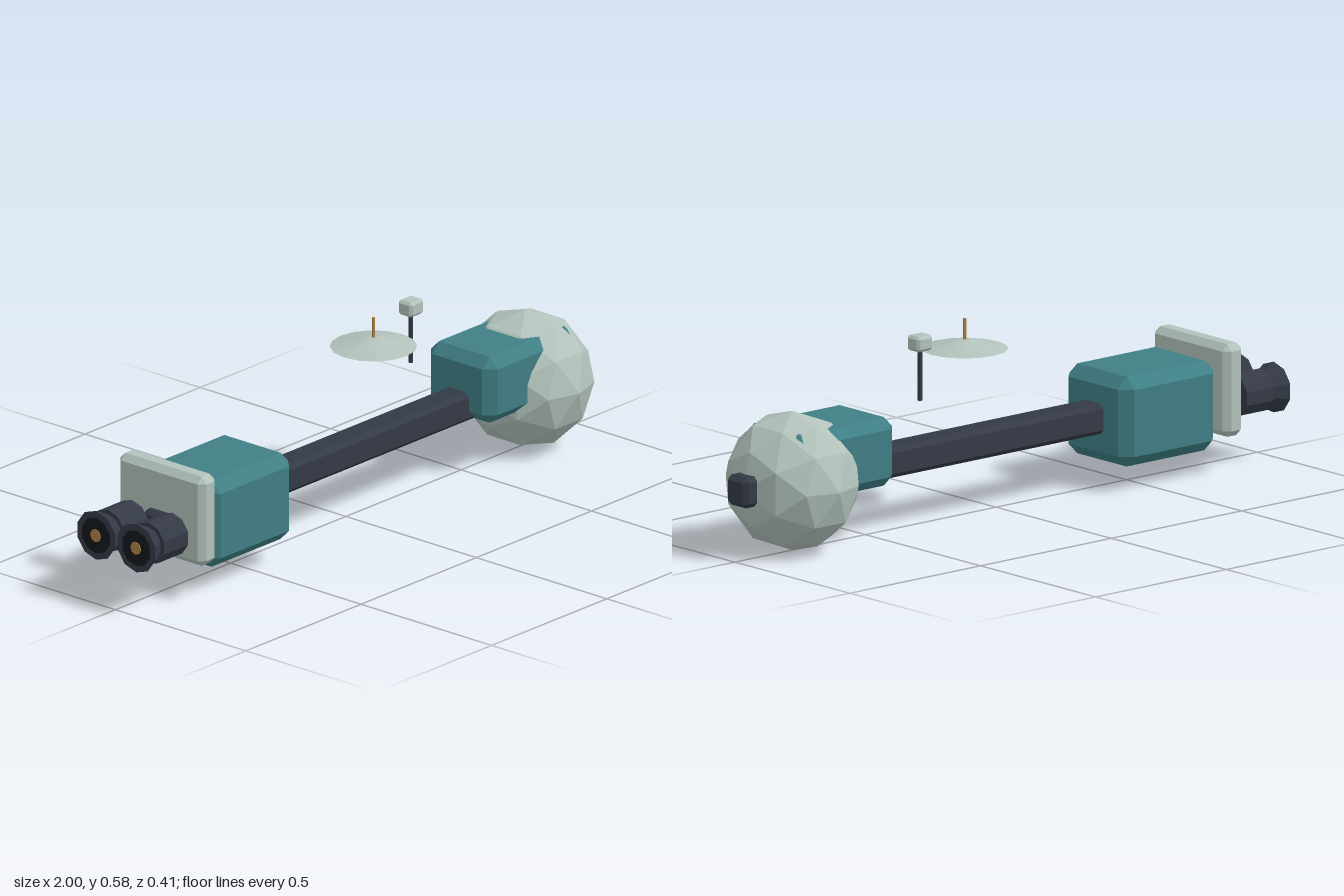
import * as THREE from 'three';
import { ConvexGeometry } from 'three/addons/geometries/ConvexGeometry.js';

const paint = (color) => new THREE.MeshStandardMaterial({ color, flatShading: true });

// Box with a single 45 degree chamfer on every edge, given by its limits
function chamferBox([x0, x1], [y0, y1], [z0, z1], c) {
  const h = [(x1 - x0) / 2, (y1 - y0) / 2, (z1 - z0) / 2];
  const points = [];
  for (const sx of [-1, 1]) for (const sy of [-1, 1]) for (const sz of [-1, 1]) {
    for (let axis = 0; axis < 3; axis++) {
      const [x, y, z] = h.map((v, i) => (i === axis ? v : v - c));
      points.push(new THREE.Vector3(sx * x, sy * y, sz * z));
    }
  }
  return new ConvexGeometry(points).translate((x0 + x1) / 2, (y0 + y1) / 2, (z0 + z1) / 2);
}

// Upright cylinder or cone section
const upright = (rTop, rBottom, y0, y1, x, z, sides) =>
  new THREE.CylinderGeometry(rTop, rBottom, y1 - y0, sides).translate(x, (y0 + y1) / 2, z);

// Cylinder along x; corners lie straight up and down
const along = (rRear, rFront, x0, x1, sides = 10) =>
  new THREE.CylinderGeometry(rRear, rFront, x1 - x0, sides)
    .rotateY(Math.PI / 2).rotateZ(Math.PI / 2).translate((x0 + x1) / 2, 0, 0);

export function createModel() {
  const model = new THREE.Group();
  model.name = 'spaceship';
  const teal = paint(0x3f7f85);
  const pale = paint(0xb2c2bb);
  const dark = paint(0x343a46);
  const black = paint(0x15171b);
  const gold = paint(0xb08344);

  const add = (name, geometry, material, parent = model) => {
    const mesh = new THREE.Mesh(geometry, material);
    mesh.name = name;
    parent.add(mesh);
    return mesh;
  };

  // Hull
  add('spine', chamferBox([-0.835, 0.998], [0.165, 0.255], [-0.045, 0.045], 0.014), dark);
  add('rearModule', chamferBox([-0.737, -0.372], [0.077, 0.343], [-0.141, 0.141], 0.034), teal);
  add('frontModule', chamferBox([0.483, 0.872], [0.168, 0.371], [-0.127, 0.127], 0.031), teal);
  add('shieldPlate', chamferBox([-0.81, -0.738], [0.115, 0.389], [-0.165, 0.165], 0.019), pale);

  // Faceted command sphere, slightly flattened lengthwise
  const sphere = new THREE.IcosahedronGeometry(0.206, 1).rotateX(Math.PI / 2);
  add('commandSphere', sphere.scale(0.925, 1, 1).translate(0.78, 0.209, 0), pale);

  // Twin engines
  for (const [name, z] of [['leftEngine', 0.077], ['rightEngine', -0.077]]) {
    const engine = new THREE.Group();
    engine.name = name;
    engine.position.set(0, 0.211, z);
    add('engineBody', along(0.064, 0.064, -0.945, -0.84), dark, engine);
    add('engineBell', along(0.075, 0.048, -0.996, -0.94), dark, engine);
    add('nozzleOpening', along(0.055, 0.055, -0.998, -0.99), black, engine);
    add('nozzleCore', along(0.02, 0.02, -1, -0.985, 8), gold, engine);
    model.add(engine);
  }

  // Dish antenna
  add('dish', upright(0.018, 0.126, 0.493, 0.52, 0.12, 0, 16), pale);
  add('dishFeed', upright(0.005, 0.005, 0.515, 0.581, 0.12, 0, 6), gold);

  // Sensor mast
  add('mast', upright(0.0065, 0.0065, 0.377, 0.53, 0.32, -0.033, 8), dark);
  add('mastHead', chamferBox([0.29, 0.35], [0.526, 0.571], [-0.06, -0.006], 0.008), pale);

  return model;
}
